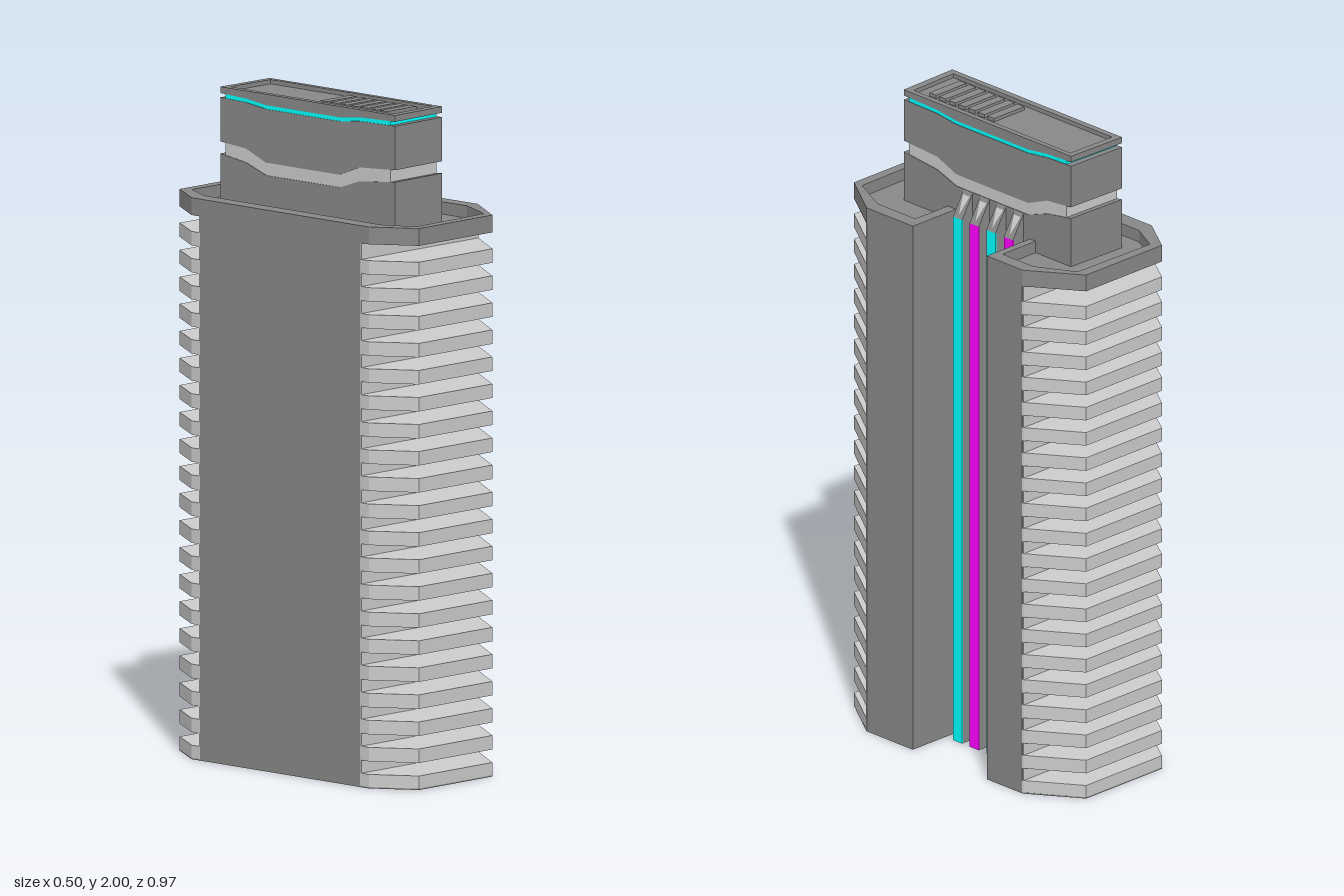
import * as THREE from 'three';

const material = (color) => new THREE.MeshStandardMaterial({ color, flatShading: true });
const light = material(0xcccccc);
const dark = material(0x888888);
const cyan = material(0x00ffff);
const magenta = material(0xff00ff);

const toShape = (pts) => new THREE.Shape(pts.map(([a, b]) => new THREE.Vector2(a, b)));
const flipZ = (pts) => pts.map(([x, z]) => [x, -z]);

export function createModel() {
  const model = new THREE.Group();

  const add = (name, geometry, mat, parent = model) => {
    const mesh = new THREE.Mesh(geometry, mat);
    mesh.name = name;
    parent.add(mesh);
  };

  const group = (name) => {
    const g = new THREE.Group();
    g.name = name;
    model.add(g);
    return g;
  };

  // Floor plan given as [x, z], raised from y0 to y1; the hole winds the other way
  const plan = (pts, y0, y1, hole) => {
    const shape = toShape(flipZ(pts));
    if (hole) shape.holes.push(toShape(flipZ([...hole].reverse())));
    return new THREE.ExtrudeGeometry(shape, { depth: y1 - y0, bevelEnabled: false })
      .rotateX(-Math.PI / 2).translate(0, y0, 0);
  };

  // Side profile given as [z, y], spanning x0 to x1 and slightly shorter at x1
  const profile = (pts, x0, x1) => {
    const geometry = new THREE.ExtrudeGeometry(toShape(pts), { depth: x1 - x0, bevelEnabled: false })
      .rotateY(-Math.PI / 2).translate(x1, 0, 0);
    const p = geometry.attributes.position;
    for (let i = 0; i < p.count; i++) {
      if (p.getX(i) > 0 && Math.abs(p.getZ(i)) > 0.3) p.setZ(i, p.getZ(i) * 0.985);
    }
    geometry.computeVertexNormals();
    return geometry;
  };

  const box = (x0, x1, y0, y1, z0, z1) =>
    new THREE.BoxGeometry(x1 - x0, y1 - y0, z1 - z0)
      .translate((x0 + x1) / 2, (y0 + y1) / 2, (z0 + z1) / 2);

  // Main body with the vertical slot on the +x side
  const slotX = 0.073;
  const slot = [[slotX, -0.178], [slotX, 0.132], [0.252, 0.132]];
  const outer = [[-0.252, -0.36], [-0.17, -0.486], [0.145, -0.486], [0.252, -0.328], [0.252, -0.178],
    ...slot, [0.252, 0.325], [0.145, 0.486], [-0.17, 0.486], [-0.252, 0.36]];
  const core = [[-0.252, -0.326], [0.252, -0.326], [0.252, -0.178], ...slot, [0.252, 0.323], [-0.252, 0.326]];
  add('body', plan(core, 0, 1.64), dark);
  add('basePlate', plan(outer, 0, 0.004), dark);

  // Pale end walls with balcony slabs stacked on them
  const balconies = group('balconies');
  const slab = [[-0.252, 0.325], [-0.252, 0.36], [-0.17, 0.486], [0.145, 0.486], [0.252, 0.327], [0.252, 0.325]];
  for (const s of [1, -1]) {
    add('endWall', box(-0.251, 0.251, 0.004, 1.63, s * 0.328 - 0.002, s * 0.328 + 0.002), light, balconies);
    const outline = slab.map(([x, z]) => [x, z * s]);
    for (let i = 0; i < 20; i++) {
      add('balcony', plan(outline, Math.max(0.004, i * 0.081), i * 0.081 + 0.042), light, balconies);
    }
  }

  // Roof deck and its parapet
  const inner = [[-0.2, -0.36], [-0.15, -0.455], [0.145, -0.45], [0.21, -0.328], [0.21, -0.202],
    [0.06, -0.202], [0.06, 0.167], [0.207, 0.167], [0.207, 0.325], [0.145, 0.452], [-0.15, 0.457], [-0.2, 0.36]];
  add('roofDeck', plan(outer, 1.63, 1.645), dark);
  add('parapet', plan(outer, 1.645, 1.682, inner), dark);

  // Fins in the slot: rib, coloured front strip, sloped tooth with a pale triangle
  const fins = group('fins');
  const tooth = toShape([[slotX - 0.003, 1.682], [0.117, 1.682], [slotX - 0.003, 1.76]]);
  const slope = (x) => 1.682 + (0.117 - x) * (0.078 / 0.047) + 0.001;
  [0.081, 0.011, -0.059, -0.132].forEach((z, i) => {
    add('fin', box(slotX - 0.003, 0.113, 0, 1.682, z - 0.019, z + 0.019), dark, fins);
    add('lightStrip', box(0.113, 0.117, 0, 1.682, z - 0.019, z + 0.019), i % 2 ? magenta : cyan, fins);
    add('finTooth', new THREE.ExtrudeGeometry(tooth, { depth: 0.038, bevelEnabled: false })
      .translate(0, 0, z - 0.019), dark, fins);
    const triangle = new THREE.BufferGeometry().setFromPoints([
      new THREE.Vector3(0.08, slope(0.08), z + 0.014),
      new THREE.Vector3(0.112, slope(0.112), z),
      new THREE.Vector3(0.08, slope(0.08), z - 0.014)]);
    triangle.computeVertexNormals();
    add('toothTriangle', triangle, light, fins);
  });

  // Upper block, split by a pale groove that dips in the middle
  const x0 = -0.134, x1 = slotX, h = 0.355;
  const dip = (end, shoulder, mid, half = h) =>
    [[half, end], [0.21, shoulder], [0.13, mid], [-0.17, mid], [-0.25, shoulder], [-half, end]];
  const between = (low, high) => [...low, ...[...high].reverse()];
  const flat = (y) => [[h, y], [-h, y]];

  add('upperBase', profile(between(flat(1.645), dip(1.80, 1.785, 1.757)), x0, x1), dark);
  add('groove', profile(between(dip(1.79, 1.775, 1.747, 0.335), dip(1.845, 1.835, 1.805, 0.335)),
    x0 + 0.002, x1 - 0.002), light);
  add('upperBlock', profile(between(dip(1.836, 1.827, 1.795), dip(1.968, 1.965, 1.955)), x0, x1), dark);
  add('lightBand', profile(between(dip(1.96, 1.957, 1.947, 0.335), dip(1.985, 1.982, 1.972, 0.335)),
    x0 + 0.002, x1 - 0.002), cyan);
  add('cap', profile(between(dip(1.981, 1.977, 1.967), flat(1.987)), x0, x1), dark);

  // Rim around the recessed top, with louvres inside
  add('capRim', plan(
    [[x0, -h], [x1, -h * 0.985], [x1, h * 0.985], [x0, h]], 1.987, 2,
    [[-0.114, -0.333], [0.056, -0.33], [0.056, 0.326], [-0.114, 0.331]]), dark);
  const louvres = group('louvres');
  for (let i = 0; i < 7; i++) {
    const z = 0.027 + i * 0.0405;
    add('louvre', box(-0.094, 0.032, 1.985, 1.998, z - 0.014, z + 0.014), dark, louvres);
  }

  return model;
}
